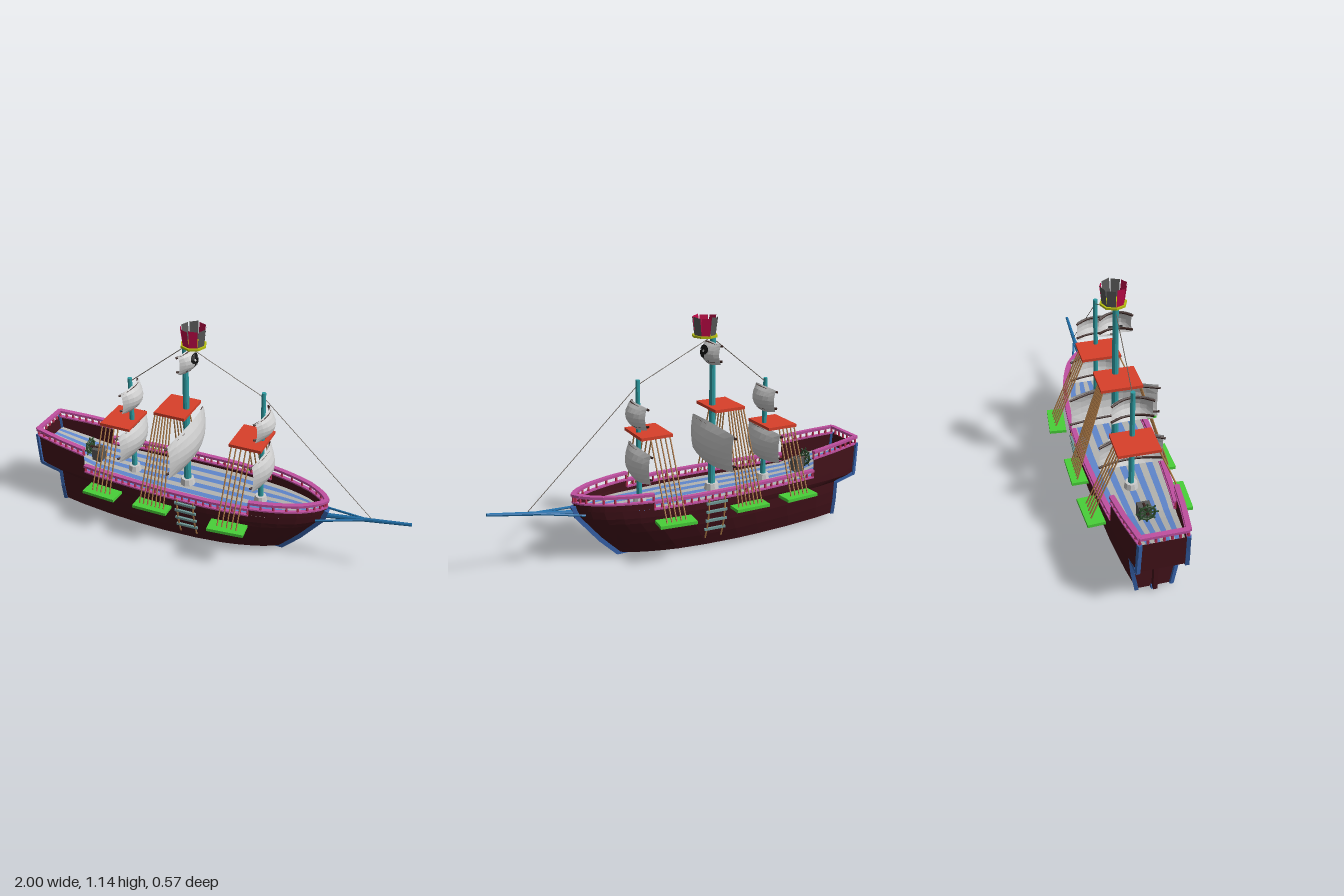
import * as THREE from 'three';

const V = (x, y, z) => new THREE.Vector3(x, y, z);
const lerp = THREE.MathUtils.lerp;
const mat = (color) => new THREE.MeshStandardMaterial({ color, flatShading: true, side: THREE.DoubleSide });
const M = {
  hull: mat(0x43121a), trim: mat(0x3560a8), spar: mat(0x1f6ea8), mast: mat(0x2e9ca2), grey: mat(0xcccccc),
  deckGrey: mat(0xb4b4b0), deckBlue: mat(0x5f86cc), rail: mat(0xc050a0), post: mat(0xc03058), top: mat(0xd8402a),
  green: mat(0x48d038), rope: mat(0xb07c48), line: mat(0x706860), yard: mat(0x3a2420), crimson: mat(0xc00848),
  nestGrey: mat(0x585858), lime: mat(0xb8c010), wheel: mat(0x2c4a2c), black: mat(0x101010), rung: mat(0x6f9a98),
};

// Piecewise-linear lookup in a list of [key, value]
function table(t, k) {
  if (k <= t[0][0]) return t[0][1];
  for (let i = 1; i < t.length; i++) {
    if (k <= t[i][0]) return lerp(t[i - 1][1], t[i][1], (k - t[i - 1][0]) / (t[i][0] - t[i - 1][0]));
  }
  return t[t.length - 1][1];
}

// Hull lines: plan breadth, fullness by height, stern and stem profiles, gunwale and deck heights
const PLAN = [[0, .11], [.1, .138], [.25, .166], [.4, .183], [.5, .19], [.65, .189], [.77, .174], [.83, .155],
  [.88, .132], [.93, .1], [.965, .064], [.988, .03], [1, 0]];
const FULL = [[.012, .74], [.08, .86], [.15, .95], [.24, 1], [.31, .99], [.42, .97]];
const STERN = [[.012, -.868], [.205, -.862], [.235, -.975], [.41, -.985]];
const STEM = [[.012, .37], [.1, .455], [.24, .57], [.31, .585]];
const DECK = [[-.98, .335], [-.8, .29], [-.68, .262], [-.4, .25], [.2, .25], [.58, .27]];
const LEVELS = [.012, .045, .08, .15, .205, .235, .275];
const gunwale = (x) => (x < -.68 ? lerp(.402, .375, (x + .98) / .3) : x < .24 ? .275 : .313);
const xAt = (s, y) => lerp(table(STERN, y), table(STEM, y), s);
function half(x, y) {
  const a = table(STERN, y), s = (x - a) / (table(STEM, y) - a);
  const fine = 1 - .35 * Math.max(0, 1 - y / .24) * Math.pow(Math.max(s, 0), 3);
  return table(PLAN, s) * table(FULL, y) * fine;
}

function add(group, name, geometry, material) {
  const m = new THREE.Mesh(geometry, material);
  m.name = name;
  group.add(m);
  return m;
}
// Grid surface from a point rule f(u, v), u and v in 0..1
function sheet(f, nu, nv) {
  const p = [], idx = [];
  for (let i = 0; i <= nu; i++) for (let j = 0; j <= nv; j++) p.push(...f(i / nu, j / nv));
  for (let i = 0; i < nu; i++) for (let j = 0; j < nv; j++) {
    const a = i * (nv + 1) + j, b = a + nv + 1;
    idx.push(a, b, a + 1, b, b + 1, a + 1);
  }
  const g = new THREE.BufferGeometry();
  g.setAttribute('position', new THREE.Float32BufferAttribute(p, 3));
  g.setIndex(idx);
  g.computeVertexNormals();
  return g;
}
function rod(group, name, a, b, r, material, rTop = r, sides = 6) {
  const m = add(group, name, new THREE.CylinderGeometry(rTop, r, a.distanceTo(b), sides), material);
  m.position.copy(a).lerp(b, .5);
  m.quaternion.setFromUnitVectors(V(0, 1, 0), b.clone().sub(a).normalize());
  return m;
}
function beams(group, name, points, w, h, material) {
  for (let i = 1; i < points.length; i++) {
    const a = points[i - 1], b = points[i];
    const m = add(group, name, new THREE.BoxGeometry(w, h, a.distanceTo(b) + .006), material);
    m.position.copy(a).lerp(b, .5);
    m.lookAt(b);
  }
}
function box(group, name, w, h, d, x, y, z, material) {
  const m = add(group, name, new THREE.BoxGeometry(w, h, d), material);
  m.position.set(x, y, z);
  return m;
}

function buildHull(g) {
  const n = PLAN.length - 1, L = LEVELS.length - 1;
  for (const s of [1, -1]) {
    add(g, 'hullSide', sheet((u, v) => {
      const y = LEVELS[Math.round(v * L)], x = xAt(PLAN[Math.round(u * n)][0], y);
      return [x, y, s * half(x, y)];
    }, n, L), M.hull);
    for (const [name, x0, x1] of [['sternBulwark', -.98, -.6805], ['bowBulwark', .24, .585]]) {
      add(g, name, sheet((u, v) => {
        const x = lerp(x0, x1, Math.sqrt(u)), y = lerp(.275, gunwale(x), v);
        return [x, y, s * half(x, y)];
      }, 14, 1), M.hull);
    }
    // Blue edging of the transom corners
    beams(g, 'transomEdge', [.012, .11, .205, .235, .32, .402].map((y) => {
      const x = table(STERN, y);
      return V(x, y, s * half(x, y));
    }), .018, .018, M.trim);
  }
  add(g, 'hullBottom', sheet((u, v) => {
    const x = xAt(PLAN[Math.round(u * n)][0], .012);
    return [x, .012, (v * 2 - 1) * half(x, .012)];
  }, n, 2), M.hull);
  const T = [...LEVELS, .402];
  add(g, 'transom', sheet((u, v) => {
    const y = T[Math.round(u * (T.length - 1))], x = table(STERN, y);
    return [x, y, (v * 2 - 1) * half(x, y)];
  }, T.length - 1, 2), M.hull);
  beams(g, 'keelAndStem', [V(-.875, .012, 0), V(.37, .012, 0), V(.46, .1, 0), V(.575, .24, 0), V(.588, .29, 0)], .03, .022, M.trim);
  box(g, 'rudder', .03, .19, .02, -.88, .11, 0, M.hull);
  // Striped deck planks following the sheer
  for (let k = 0; k < 11; k++) {
    add(g, 'deckPlank', sheet((u, v) => {
      const x = lerp(-.975, .568, u), y = table(DECK, x);
      return [x, y, lerp(k, k + 1, v) / 5.5 * half(x, y) * .98 - half(x, y) * .98];
    }, 30, 1), k % 2 ? M.deckBlue : M.deckGrey);
  }
}

function buildRails(g) {
  const edge = (x, s) => V(x, gunwale(x), s * half(x, gunwale(x)) * .98);
  const span = (x0, x1, n, s) => Array.from({ length: n + 1 }, (_, i) => edge(lerp(x0, x1, i / n), s));
  const lift = (p) => p.clone().add(V(0, .036, 0));
  for (const s of [1, -1]) {
    const bow = [.242, .3, .36, .42, .47, .51, .54, .562, .577, .584].map((x) => edge(x, s));
    for (const run of [span(-.98, -.682, 8, s), span(-.678, .238, 24, s), bow]) {
      beams(g, 'handrail', run.map(lift), .024, .013, M.rail);
      beams(g, 'gunwaleStrip', run, .018, .008, M.rail);
      for (const p of run) rod(g, 'railPost', p, lift(p), .007, M.post, .005, 5);
    }
  }
  const ends = [edge(-.98, -1), edge(-.98, 1)];
  beams(g, 'sternRail', ends.map(lift), .024, .013, M.rail);
  for (let i = 1; i < 6; i++) {
    const p = ends[0].clone().lerp(ends[1], i / 6);
    rod(g, 'railPost', p, lift(p), .007, M.post, .005, 5);
  }
}

// Billowing sail with curved yards along its upper and lower parts
function sailPoint(x0, y0, y1, w, u, v) {
  const bulge = .055 * (1 - .75 * u * u) * (1 - .75 * v * v);
  return [x0 + bulge - .012 * u * u, (y0 + y1) / 2 + v * (y1 - y0) / 2 * (1 - .17 * u * u), u * w];
}
function buildSail(g, x0, y0, y1, w) {
  add(g, 'sail', sheet((u, v) => sailPoint(x0, y0, y1, w, u * 2 - 1, v * 2 - 1), 8, 6), M.grey);
  for (const v of [-.7, .85]) {
    const pts = [-1.04, -.5, 0, .5, 1.04].map((u) => V(...sailPoint(x0 - .008, y0, y1, w, u, v)));
    add(g, 'yard', new THREE.TubeGeometry(new THREE.CatmullRomCurve3(pts), 10, .006, 5), M.yard);
  }
}

function buildEmblem(g) {
  // Dark face and crossed bar laid on the upper main sail
  const face = new THREE.Shape();
  face.absellipse(0, .012, .038, .024, 0, Math.PI * 2);
  for (const s of [1, -1]) face.holes.push(new THREE.Path().absarc(s * .013, .01, .006, 0, Math.PI * 2));
  const jaw = new THREE.Shape([[-.02, -.005], [.02, -.005], [.016, -.028], [0, -.02], [-.016, -.028]].map((p) => new THREE.Vector2(...p)));
  const bar = new THREE.Shape([[-.052, -.042], [.035, -.046], [.035, -.036], [-.052, -.034]].map((p) => new THREE.Vector2(...p)));
  for (const shape of [face, jaw, bar]) {
    const geo = new THREE.ShapeGeometry(shape, 8), p = geo.attributes.position;
    for (let i = 0; i < p.count; i++) {
      const z = -p.getX(i), y = p.getY(i);
      const q = sailPoint(-.155, .905, 1.022, .075, z / .075, (y + .005) / .0585);
      p.setXYZ(i, q[0] + .004, .968 + y, z);
    }
    geo.computeVertexNormals();
    add(g, 'sailEmblem', geo, M.black);
  }
}

function buildNest(g) {
  const nest = new THREE.Group();
  nest.name = 'crowsNest';
  nest.position.set(-.115, 1.05, 0);
  add(nest, 'nestFloor', new THREE.CylinderGeometry(.064, .064, .01, 8), M.lime);
  const red = [0, 1, 1, 1, 0, 0, 1, 0];
  for (let k = 0; k < 8; k++) {
    add(nest, 'nestPanel', sheet((u, v) => {
      const a = (k + .5 + (u - .5) * lerp(1, .86, v)) * Math.PI / 4, r = lerp(.054, .064, v);
      return [r * Math.cos(a), .004 + v * (.086 + .006 * (k % 2) * u), r * Math.sin(a)];
    }, 1, 1), red[k] ? M.crimson : M.nestGrey);
  }
  g.add(nest);
}

export function createModel() {
  const g = new THREE.Group();
  g.name = 'sailingShip';
  buildHull(g);
  buildRails(g);

  // Per mast: position, height, radius, platform, channel, ropes and sails
  const masts = [
    { x: .243, h: .87, r: .014, px: .19, py: .605, cx: .157, cz: .235, rot: .1, ropes: 5, bot: [.11, .21], tip: [.12, .22],
      sails: [[.37, .547, .13], [.635, .765, .095]] },
    { x: -.16, h: 1.05, r: .019, px: -.207, py: .69, cx: -.258, cz: .217, rot: 0, ropes: 7, bot: [-.325, -.19], tip: [-.285, -.2],
      sails: [[.39, .613, .215], [.905, 1.022, .075]] },
    { x: -.468, h: .8, r: .015, px: -.517, py: .555, cx: -.55, cz: .213, rot: -.06, ropes: 5, bot: [-.6, -.5], tip: [-.59, -.5],
      sails: [[.37, .55, .15], [.63, .765, .095]] },
  ];
  for (const m of masts) {
    rod(g, 'mast', V(m.x, .24, 0), V(m.x, m.h, 0), m.r, M.mast, m.r * .75, 10);
    rod(g, 'mastCollar', V(m.x, .25, 0), V(m.x, .285, 0), m.r + .02, M.grey, m.r + .014, 10);
    box(g, 'mastPlatform', .165, .015, .2, m.px, m.py, 0, M.top);
    for (const s of [1, -1]) {
      box(g, 'shroudChannel', .185, .016, .085, m.cx, .218, s * m.cz, M.green).rotation.y = m.rot * s;
      for (let i = 0; i < m.ropes; i++) {
        const t = i / (m.ropes - 1);
        rod(g, 'shroud', V(lerp(...m.bot, t), .222, s * (m.cz + .012)), V(lerp(...m.tip, t), m.py, s * .09), .0038, M.rope, .0038, 5);
      }
    }
    for (const [y0, y1, w] of m.sails) buildSail(g, m.x + .005, y0, y1, w);
  }
  buildEmblem(g);
  buildNest(g);

  // Bowsprit with side braces
  rod(g, 'bowsprit', V(.55, .255, 0), V(1, .328, 0), .013, M.spar, .008, 8);
  for (const s of [1, -1]) rod(g, 'bowspritBrace', V(.55, .262, s * .065), V(.8, .296, 0), .006, M.spar);

  // Stays running over the mast tops
  const stay = [V(.81, .305, 0), V(.243, .845, 0), V(-.15, 1.04, 0), V(-.468, .78, 0)];
  for (let i = 1; i < 4; i++) rod(g, 'stay', stay[i - 1], stay[i], .002, M.line, .002, 4);

  // Boarding ladders
  for (const s of [1, -1]) {
    const at = (x, y) => V(x, y, s * (half(x, y) + .008));
    for (const x of [-.13, -.042]) beams(g, 'ladderRope', [.065, .11, .16, .22, .28].map((y) => at(x, y)), .006, .006, M.rope);
    for (const y of [.115, .165, .215, .26]) beams(g, 'ladderRung', [at(-.14, y), at(-.032, y)], .012, .012, M.rung);
  }

  // Steering wheel and its stand
  const wheel = new THREE.Group();
  wheel.name = 'steeringWheel';
  wheel.position.set(-.735, .33, 0);
  add(wheel, 'wheelRim', new THREE.TorusGeometry(.036, .006, 6, 14), M.wheel).rotation.y = Math.PI / 2;
  for (let i = 0; i < 4; i++) {
    const a = i * Math.PI / 4, d = V(0, Math.cos(a) * .052, Math.sin(a) * .052);
    rod(wheel, 'wheelSpoke', d.clone().negate(), d, .004, M.wheel, .004, 5);
  }
  rod(wheel, 'wheelAxle', V(-.01, 0, 0), V(.06, 0, 0), .008, M.yard);
  g.add(wheel);
  box(g, 'wheelStand', .05, .075, .06, -.685, .295, 0, M.nestGrey);
  return g;
}
